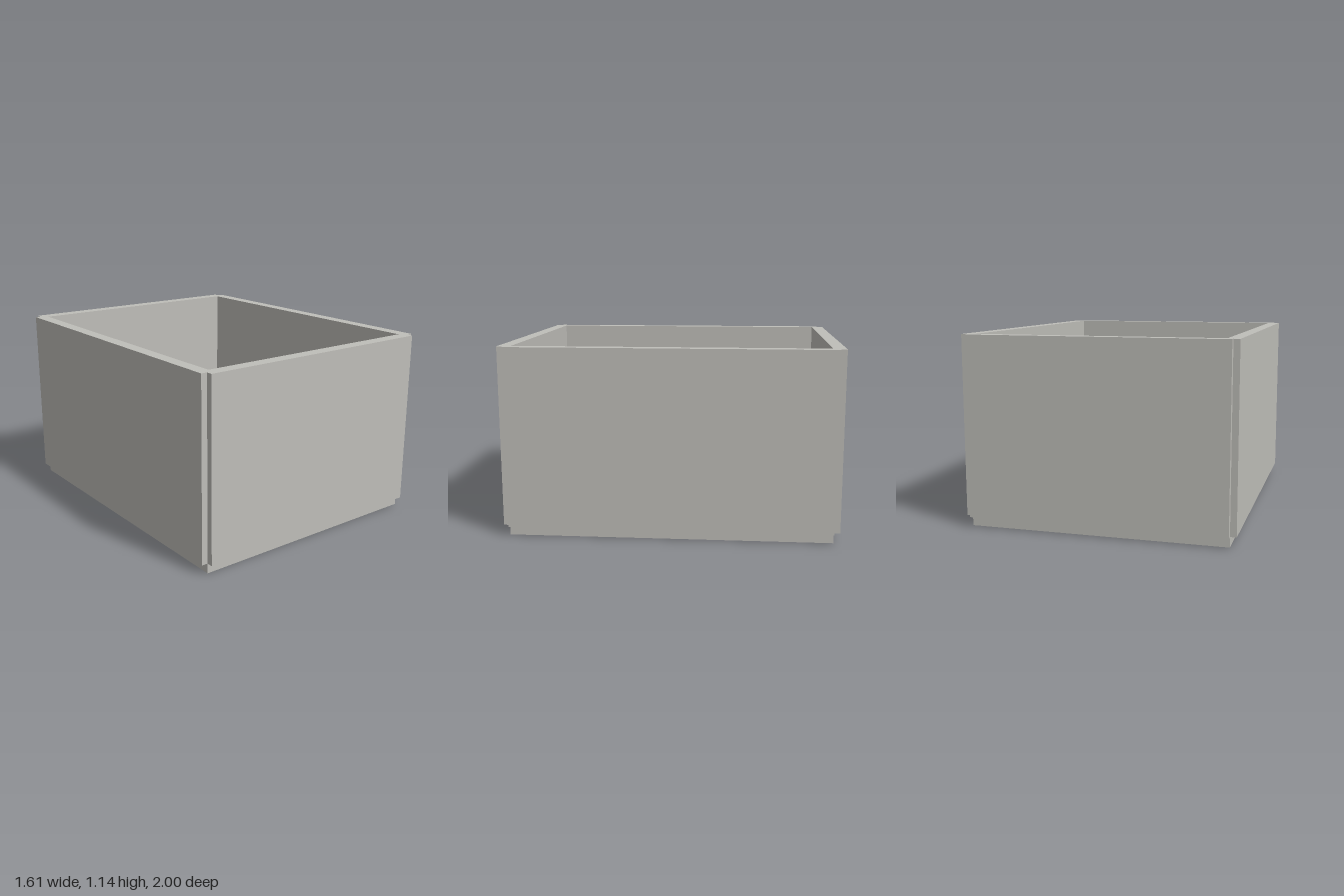
import * as THREE from 'three';

export function createModel() {
  const model = new THREE.Group();
  const grey = new THREE.MeshStandardMaterial({ color: 0xbfbeb9 });
  grey.name = 'warm grey';

  const coreX = 0.77, coreZ = 0.962;   // plinth half sizes
  const outX = 0.807, outZ = 1;        // outer panel half sizes
  const inX = 0.733, inZ = 0.923;      // cavity half sizes
  const floorY = 0.06, topY = 1.136;

  const add = (geometry, name) => {
    const mesh = new THREE.Mesh(geometry, grey);
    mesh.name = name;
    model.add(mesh);
    return mesh;
  };

  // Box given by its x, y and z ranges
  const block = (name, x0, x1, y0, y1, z0, z1) =>
    add(new THREE.BoxGeometry(x1 - x0, y1 - y0, z1 - z0), name)
      .position.set((x0 + x1) / 2, (y0 + y1) / 2, (z0 + z1) / 2);

  // Recessed plinth, its top is the floor of the box
  block('plinth', -coreX, coreX, 0, floorY, -coreZ, coreZ);

  // Four walls in one ring, with a square notch at each outer corner
  const points = (list) => list.map(([x, z]) => new THREE.Vector2(x, z));
  const ring = new THREE.Shape(points([
    [-coreX, -outZ], [coreX, -outZ], [coreX, -coreZ], [outX, -coreZ],
    [outX, coreZ], [coreX, coreZ], [coreX, outZ], [-coreX, outZ],
    [-coreX, coreZ], [-outX, coreZ], [-outX, -coreZ], [-coreX, -coreZ],
  ]));
  ring.holes.push(new THREE.Path(points([
    [-inX, -inZ], [-inX, inZ], [inX, inZ], [inX, -inZ],
  ])));
  const walls = new THREE.ExtrudeGeometry(ring, { depth: topY - floorY, bevelEnabled: false });
  walls.rotateX(-Math.PI / 2).translate(0, floorY, 0);
  add(walls, 'walls');

  // Blocks standing on the floor inside
  block('leftBlock', -0.626, -0.295, floorY, 0.345, -0.481, 0.325);
  block('backBlock', -0.104, 0.182, floorY, 0.3, -0.84, -0.543);
  block('centreBlock', -0.056, 0.172, floorY, 0.3, -0.288, 0.134);
  block('rightBlock', 0.535, 0.695, floorY, 0.3, -0.42, 0.267);

  return model;
}
